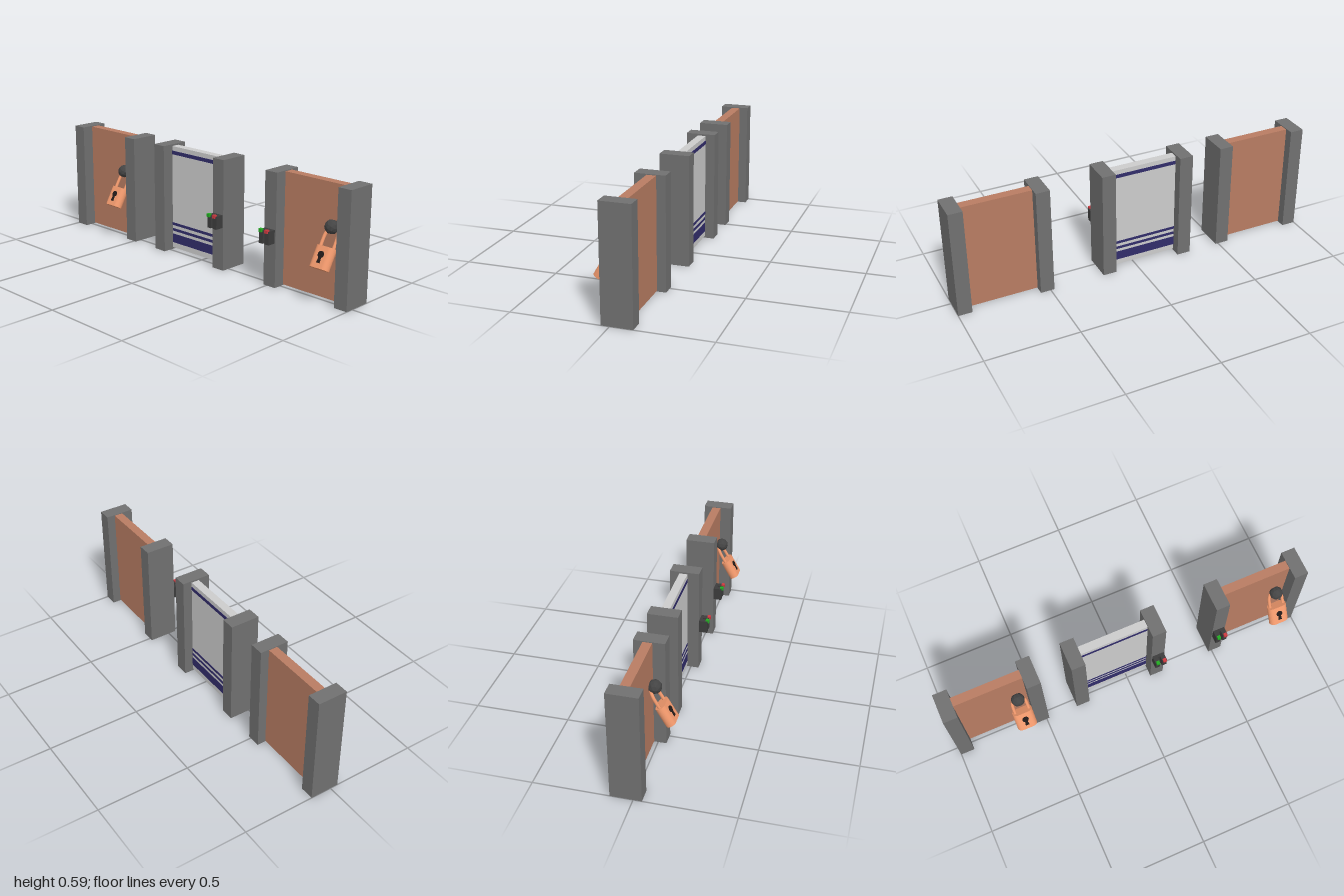
import * as THREE from 'three';

const mat = (color, extra = {}) => new THREE.MeshStandardMaterial({ color, ...extra });
const M = {
  post: mat(0x707070), wood: mat(0xb87c62), grey: mat(0xcccccc), stripe: mat(0x312c6a),
  copper: mat(0xf0986c), dark: mat(0x3c3c3c), knob: mat(0x444444, { flatShading: true }),
  hole: mat(0x221a18), green: mat(0x22aa22), red: mat(0xcc3a40),
};

function add(parent, name, geo, material, x = 0, y = 0, z = 0) {
  const m = new THREE.Mesh(geo, material);
  m.name = name;
  m.position.set(x, y, z);
  parent.add(m);
  return m;
}

// Box given by its min and max on each axis
function box(parent, name, material, [x0, x1], [y0, y1], [z0, z1]) {
  return add(parent, name, new THREE.BoxGeometry(x1 - x0, y1 - y0, z1 - z0), material,
    (x0 + x1) / 2, (y0 + y1) / 2, (z0 + z1) / 2);
}

// Two posts with a panel between them
function gate(name, x0, x1, panelMat, yRange, zRange) {
  const g = new THREE.Group();
  g.name = name;
  const w = 0.075;
  box(g, 'rightPost', M.post, [x0, x0 + w], [0, 0.594], [-0.115, 0.043]);
  box(g, 'leftPost', M.post, [x1 - w, x1], [0, 0.594], [-0.115, 0.043]);
  box(g, 'panel', panelMat, [x0 + w, x1 - w], yRange, zRange);
  return g;
}

function padlock(x) {
  const g = new THREE.Group();
  g.name = 'padlockAndKnob';
  // Knob on a short stem
  add(g, 'knob', new THREE.IcosahedronGeometry(0.036, 1), M.knob, x, 0.382, 0.005);
  add(g, 'knobStem', new THREE.CylinderGeometry(0.015, 0.015, 0.03, 10), M.knob, x, 0.382, -0.018)
    .rotation.x = Math.PI / 2;

  // Lock hangs tilted; its origin is the body centre
  const lock = new THREE.Group();
  lock.name = 'padlock';
  lock.position.set(x, 0.24, 0.064);
  lock.rotation.x = -Math.PI / 6;
  g.add(lock);

  // Body with rounded sides, extruded along its height
  const r = 0.0265, h = 0.11, half = 0.0535 - r;
  const s = new THREE.Shape();
  s.moveTo(-half, -r);
  s.lineTo(half, -r);
  s.absarc(half, 0, r, -Math.PI / 2, Math.PI / 2, false);
  s.lineTo(-half, r);
  s.absarc(-half, 0, r, Math.PI / 2, Math.PI * 1.5, false);
  const body = new THREE.ExtrudeGeometry(s, { depth: h, bevelEnabled: false, curveSegments: 12 });
  body.translate(0, 0, -h / 2).rotateX(-Math.PI / 2);
  add(lock, 'lockBody', body, M.copper);

  // Shackle
  const pts = [[-0.038, 0.045], [-0.038, 0.085]].map(([a, b]) => new THREE.Vector3(a, b, 0));
  for (let i = 1; i < 10; i++) {
    const t = Math.PI * (1 - i / 10);
    pts.push(new THREE.Vector3(Math.cos(t) * 0.038, 0.095 + Math.sin(t) * 0.063, 0));
  }
  pts.push(new THREE.Vector3(0.038, 0.085, 0), new THREE.Vector3(0.038, 0.045, 0));
  add(lock, 'shackle', new THREE.TubeGeometry(new THREE.CatmullRomCurve3(pts), 40, 0.0085, 10), M.copper);

  // Keyhole
  const round = new THREE.CylinderGeometry(0.017, 0.017, 0.004, 20).rotateX(Math.PI / 2);
  add(lock, 'keyholeRound', round, M.hole, 0, 0.012, r);
  const slit = new THREE.Shape([[-0.006, 0.01], [-0.01, -0.03], [0.01, -0.03], [0.006, 0.01]]
    .map(p => new THREE.Vector2(...p)));
  add(lock, 'keyholeSlit', new THREE.ExtrudeGeometry(slit, { depth: 0.004, bevelEnabled: false }),
    M.hole, 0, 0, r - 0.002);
  return g;
}

// Card reader with a vertical slot and two indicator lamps
function cardReader(x) {
  const g = new THREE.Group();
  g.name = 'cardReader';
  const y = [0.233, 0.302];
  box(g, 'readerBase', M.dark, [x - 0.032, x + 0.032], y, [0.04, 0.058]);
  for (const s of [-1, 1]) {
    const c = x + s * 0.019;
    box(g, 'readerJaw', M.dark, [c - 0.013, c + 0.013], y, [0.058, 0.088]);
    box(g, s < 0 ? 'greenLamp' : 'redLamp', s < 0 ? M.green : M.red,
      [c - 0.009, c + 0.009], [0.293, 0.31], [0.079, 0.097]);
  }
  return g;
}

export function createModel() {
  const root = new THREE.Group();
  root.name = 'securityDoors';

  const woodY = [0.004, 0.59], woodZ = [-0.068, -0.02];
  const lockedDoor = gate('lockedDoor', -1, -0.485, M.wood, woodY, woodZ);
  lockedDoor.add(padlock(-0.615));

  const greyDoor = gate('stripedDoor', -0.32, 0.198, M.grey, [0.01, 0.585], [-0.064, -0.02]);
  // Stripes wrap just proud of both faces
  for (const y of [[0.04, 0.09], [0.107, 0.122], [0.14, 0.155], [0.54, 0.56]])
    box(greyDoor, 'stripe', M.stripe, [-0.246, 0.124], y, [-0.0655, -0.0185]);
  greyDoor.add(cardReader(0.16));

  const doubleDoor = gate('lockedCardDoor', 0.48, 1, M.wood, woodY, woodZ);
  doubleDoor.add(padlock(0.867), cardReader(0.516));

  root.add(lockedDoor, greyDoor, doubleDoor);
  return root;
}
